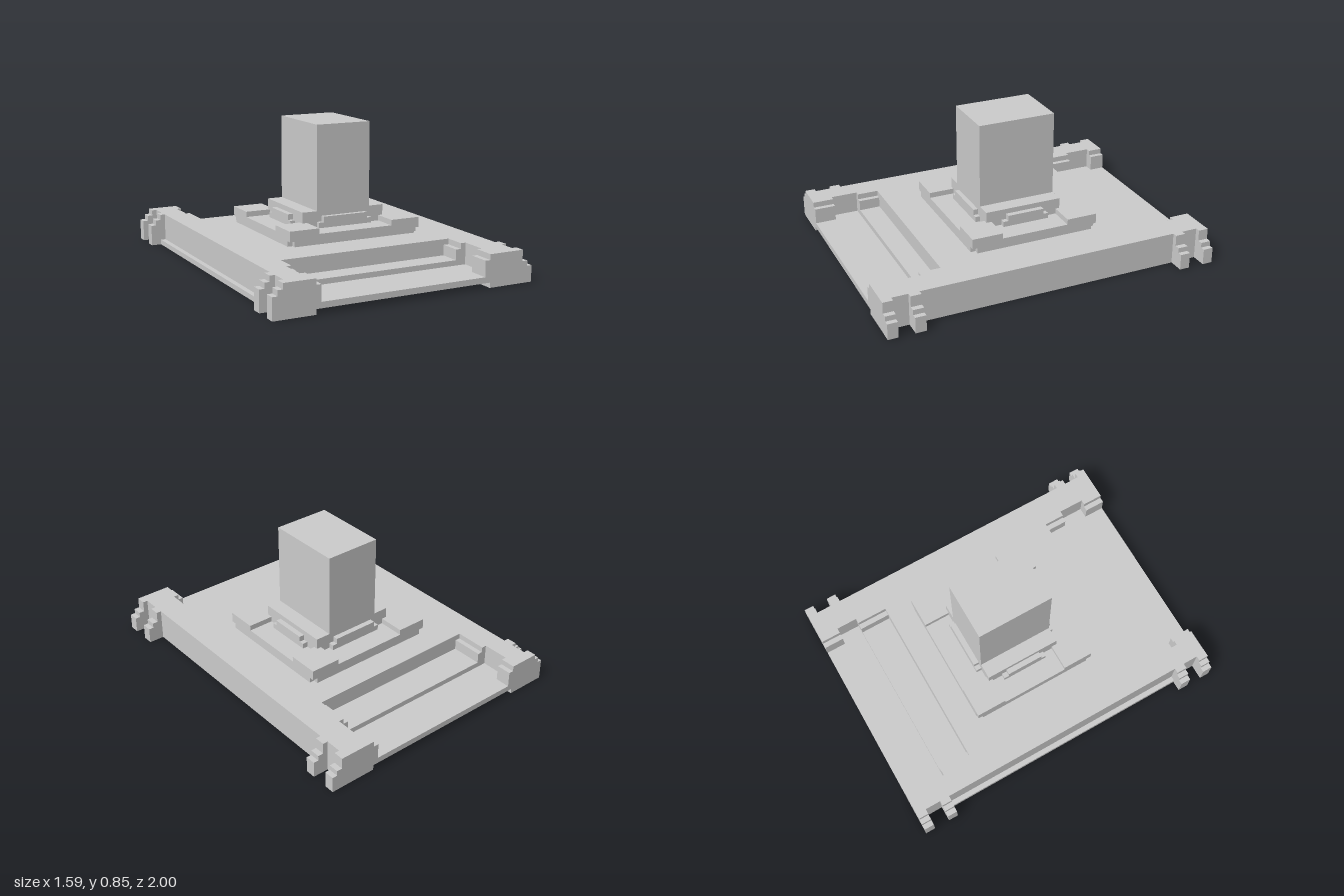
import * as THREE from 'three';

const material = new THREE.MeshStandardMaterial({ color: 0xcccccc, flatShading: true });

// Outer edges of the base cross-section, listed from the ground up.
const leftEdges = {
  prong: [[-0.795, 0], [-0.795, 0.125], [-0.765, 0.125], [-0.765, 0.157], [-0.735, 0.157], [-0.735, 0.19]],
  notch: [[-0.705, 0], [-0.705, 0.19]],
  wall: [[-0.735, 0], [-0.735, 0.03], [-0.705, 0.03], [-0.705, 0.19]],
};
const rightEdges = {
  prong: [[0.795, 0], [0.795, 0.095], [0.765, 0.095], [0.765, 0.125], [0.732, 0.125], [0.732, 0.19]],
  notch: [[0.702, 0], [0.702, 0.19]],
  wall: [[0.702, 0], [0.702, 0.19]],
};

// Sides of the recess in the deck, listed from the deck down to the floor f.
const recessLeft = {
  narrow: f => [[-0.55, 0.19], [-0.55, 0.157], [-0.52, 0.157], [-0.52, f]],
  wide: f => [[-0.58, 0.19], [-0.58, f]],
};
const recessRight = {
  narrow: f => [[0.515, 0.19], [0.515, 0.157], [0.483, 0.157], [0.483, f]],
  wide: f => [[0.546, 0.19], [0.546, f]],
};

// Base slices along z: from, to, outer edge, recess left, recess right, floor.
const slices = [
  [-1, -0.94, 'prong', 'narrow', 'narrow', 0.064],
  [-0.94, -0.91, 'notch', 'narrow', 'narrow', 0.064],
  [-0.91, -0.88, 'notch', 'wide', 'narrow', 0.064],
  [-0.88, -0.845, 'notch', 'wide', 'wide', 0.064],
  [-0.845, -0.785, 'prong', 'wide', 'wide', 0.064],
  [-0.785, -0.752, 'wall', 'wide', 'wide', 0.064],
  [-0.752, -0.564, 'wall', 'narrow', 'narrow', 0.095],
  [-0.564, 0.59, 'wall'],
  [0.59, 0.717, 'wall', 'narrow', 'narrow', 0.095],
  [0.717, 0.782, 'wall', 'wide', 'wide', 0.064],
  [0.782, 0.845, 'prong', 'wide', 'wide', 0.064],
  [0.845, 0.875, 'notch', 'wide', 'wide', 0.064],
  [0.875, 0.94, 'notch', 'narrow', 'narrow', 0.064],
  [0.94, 1, 'prong', 'narrow', 'narrow', 0.064],
];

function addMesh(parent, name, geometry) {
  const mesh = new THREE.Mesh(geometry, material);
  mesh.name = name;
  parent.add(mesh);
  return mesh;
}

// Box given by its limits on each axis.
function addBox(parent, name, [x0, x1], [y0, y1], [z0, z1]) {
  const mesh = addMesh(parent, name, new THREE.BoxGeometry(x1 - x0, y1 - y0, z1 - z0));
  mesh.position.set((x0 + x1) / 2, (y0 + y1) / 2, (z0 + z1) / 2);
}

function addGroup(parent, name) {
  const group = new THREE.Group();
  group.name = name;
  parent.add(group);
  return group;
}

function buildBase(model) {
  const base = addGroup(model, 'base');
  for (const [z0, z1, edge, left, right, floor] of slices) {
    const recess = left
      ? [...recessRight[right](floor), ...recessLeft[left](floor).reverse()]
      : [];
    const outline = [
      // shallow channel under the base
      [-0.55, 0], [-0.55, 0.03], [0.515, 0.03], [0.515, 0],
      ...rightEdges[edge],
      ...recess,
      ...[...leftEdges[edge]].reverse(),
    ];
    const shape = new THREE.Shape(outline.map(([x, y]) => new THREE.Vector2(x, y)));
    const geometry = new THREE.ExtrudeGeometry(shape, { depth: z1 - z0, bevelEnabled: false });
    addMesh(base, 'baseSlice', geometry.translate(0, 0, z0));
  }
}

function buildPlinth(model) {
  const plinth = addGroup(model, 'plinth');
  const X = [-0.39, 0.45], Z = [-0.41, 0.37], step = 0.03;

  // lowest layer, with its four corners cut away
  const [x0, x1] = X, [z0, z1] = Z;
  const corners = [
    [x0 + step, z0], [x1 - step, z0], [x1 - step, z0 + step], [x1, z0 + step],
    [x1, z1 - step], [x1 - step, z1 - step], [x1 - step, z1], [x0 + step, z1],
    [x0 + step, z1 - step], [x0, z1 - step], [x0, z0 + step], [x0 + step, z0 + step],
  ];
  const shape = new THREE.Shape(corners.map(([x, z]) => new THREE.Vector2(x, -z)));
  const footing = new THREE.ExtrudeGeometry(shape, { depth: 0.032, bevelEnabled: false });
  addMesh(plinth, 'plinthFooting', footing.rotateX(-Math.PI / 2).translate(0, 0.19, 0));
  addBox(plinth, 'plinthSlab', X, [0.222, 0.25], Z);

  // raised corner blocks
  for (const x of [[x0, -0.205], [0.265, x1]])
    for (const z of [[z0, -0.225], [0.185, z1]])
      addBox(plinth, 'cornerBlock', x, [0.25, 0.282], z);
}

function buildPedestal(model) {
  const pedestal = addGroup(model, 'pedestal');
  addBox(pedestal, 'pedestalBlock', [-0.235, 0.293], [0.25, 0.345], [-0.25, 0.217]);

  // stepped tabs on all four sides
  const layers = [{ y: [0.25, 0.282], inset: 0 }, { y: [0.282, 0.315], inset: 0.03 }];
  for (const { y, inset } of layers) {
    const alongX = [-0.142 + inset, 0.202 - inset];
    const alongZ = [-0.16 + inset, 0.123 - inset];
    addBox(pedestal, 'frontTab', alongX, y, [0.217, 0.245]);
    addBox(pedestal, 'backTab', alongX, y, [-0.283, -0.25]);
    addBox(pedestal, 'leftTab', [0.293, 0.325], y, alongZ);
    addBox(pedestal, 'rightTab', [-0.267, -0.235], y, alongZ);
  }
}

export function createModel() {
  const model = new THREE.Group();
  model.name = 'pillarOnBase';
  buildBase(model);
  buildPlinth(model);
  buildPedestal(model);
  addBox(model, 'column', [-0.142, 0.202], [0.345, 0.845], [-0.25, 0.217]);
  return model;
}
